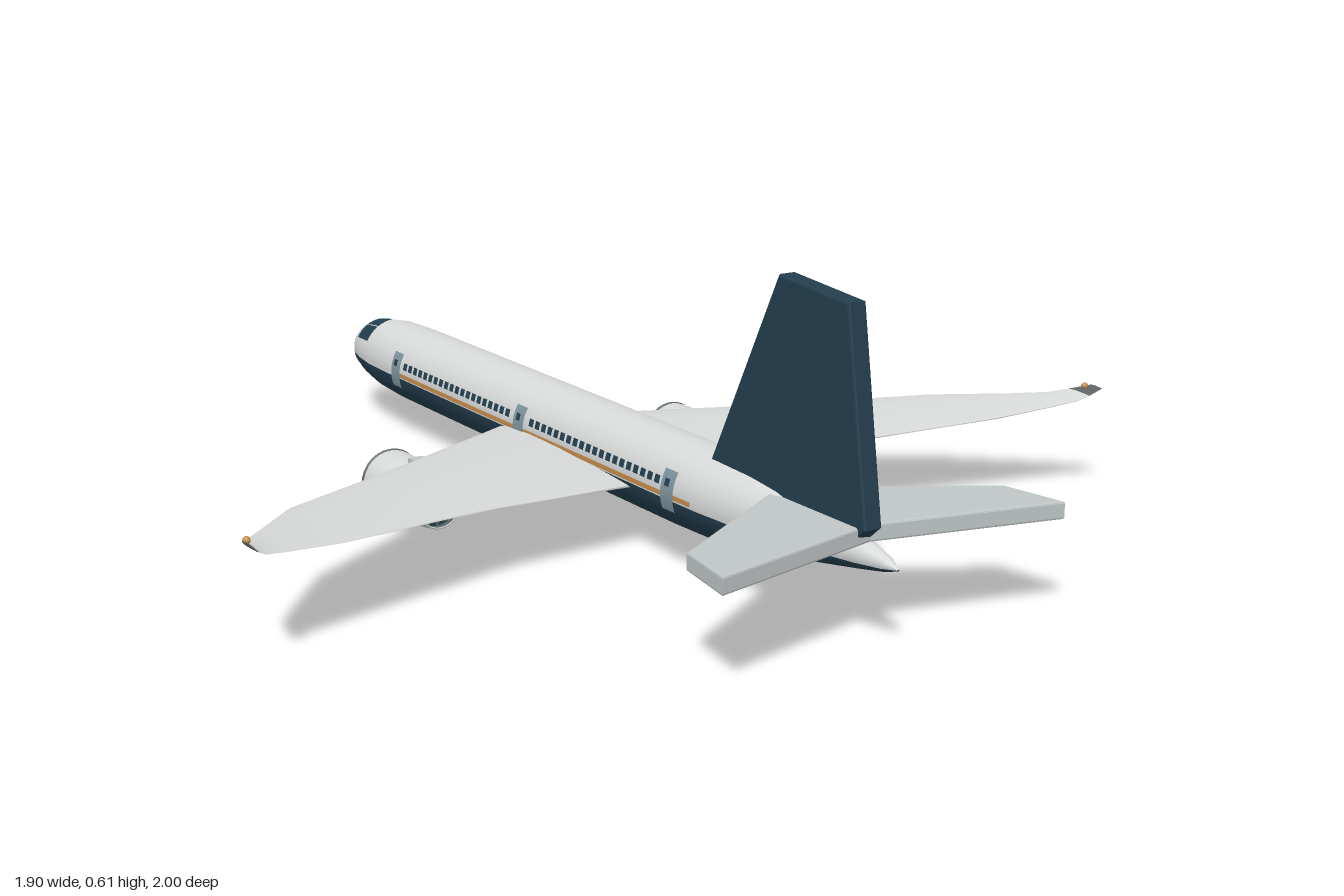
import * as THREE from 'three';

const paint = (name, color, side = THREE.FrontSide) => {
  const m = new THREE.MeshStandardMaterial({ color, side });
  m.name = name;
  return m;
};
const white = paint('white', 0xd6d9d8, THREE.DoubleSide);
const navy = paint('navy', 0x233e4e, THREE.DoubleSide);
const silver = paint('silver', 0xc0c6c6);
const grey = paint('grey', 0x5c6466, THREE.DoubleSide);
const doorBlue = paint('doorBlue', 0x7f959f, THREE.DoubleSide);
const orange = paint('orange', 0xc98d4c, THREE.DoubleSide);

function add(parent, name, geometry, material, x = 0, y = 0, z = 0) {
  const mesh = new THREE.Mesh(geometry, material);
  mesh.name = name;
  mesh.position.set(x, y, z);
  parent.add(mesh);
  return mesh;
}

// Skin stretched over a list of rings with equal point counts
function loft(rings) {
  const n = rings[0].length, index = [];
  for (let j = 0; j < rings.length - 1; j++)
    for (let i = 0; i < n - 1; i++) {
      const a = j * n + i, b = a + n;
      index.push(a, a + 1, b, a + 1, b + 1, b);
    }
  const g = new THREE.BufferGeometry();
  g.setAttribute('position', new THREE.Float32BufferAttribute(rings.flat(2), 3));
  g.setIndex(index);
  g.computeVertexNormals();
  return g;
}

// Fuselage stations: z, centre height, half width, half height
const stations = [
  [-1, 0.152, 0.002, 0.002], [-0.985, 0.153, 0.02, 0.019], [-0.96, 0.154, 0.037, 0.037],
  [-0.92, 0.155, 0.058, 0.058], [-0.87, 0.156, 0.071, 0.071], [-0.8, 0.156, 0.082, 0.081],
  [-0.7, 0.155, 0.086, 0.085], [-0.5, 0.155, 0.087, 0.085], [0.4, 0.155, 0.087, 0.085],
  [0.52, 0.156, 0.086, 0.083], [0.62, 0.159, 0.08, 0.077], [0.7, 0.163, 0.066, 0.067],
  [0.8, 0.162, 0.046, 0.048], [0.9, 0.16, 0.026, 0.028], [0.96, 0.158, 0.014, 0.014], [0.99, 0.156, 0.002, 0.002],
];

function stationAt(z) {
  let i = 0;
  while (i < stations.length - 2 && stations[i + 1][0] < z) i++;
  const t = (z - stations[i][0]) / (stations[i + 1][0] - stations[i][0]);
  return stations[i].map((v, k) => v + (stations[i + 1][k] - v) * t);
}

function arc([z, yc, rx, ry], a0, a1, steps, off = 0) {
  return Array.from({ length: steps + 1 }, (_, i) => {
    const a = a0 + (a1 - a0) * i / steps;
    return [(rx + off) * Math.cos(a), yc + (ry + off) * Math.sin(a), z];
  });
}

// Thin painted panel following the fuselage skin
function panel(z0, z1, a0, a1, side, off = 0.003) {
  const [s, e] = side > 0 ? [a0, a1] : [Math.PI - a1, Math.PI - a0];
  const rows = Math.max(2, Math.ceil((z1 - z0) / 0.1));
  const rings = [];
  for (let i = 0; i <= rows; i++) rings.push(arc(stationAt(z0 + (z1 - z0) * i / rows), s, e, 6, off));
  return loft(rings);
}

function buildFuselage(parent) {
  const group = new THREE.Group();
  group.name = 'fuselage';
  parent.add(group);
  const cut = ([, yc, , ry]) => Math.asin(THREE.MathUtils.clamp((0.145 - yc) / ry, -0.45, 0.3));
  add(group, 'upperHull', loft(stations.map(s => arc(s, cut(s), Math.PI - cut(s), 28))), white);
  add(group, 'lowerHull', loft(stations.map(s => arc(s, Math.PI - cut(s), 2 * Math.PI + cut(s), 28))), navy);

  const doors = [-0.645, -0.1, 0.44];
  for (const side of [1, -1]) {
    add(group, 'stripe', panel(-0.65, 0.51, -0.07, 0.04, side, 0.002), orange);
    for (const z of doors) {
      add(group, 'door', panel(z - 0.02, z + 0.02, -0.34, 0.55, side, 0.005), doorBlue);
      add(group, 'doorWindow', panel(z - 0.007, z + 0.007, 0.2, 0.36, side, 0.007), navy);
    }
    for (let z = -0.605; z < 0.41; z += 0.024)
      if (Math.abs(z + 0.1) > 0.03) add(group, 'window', panel(z - 0.008, z + 0.008, 0.17, 0.35, side), navy);
  }
  // Cockpit glazing
  add(group, 'cockpitWindow', panel(-0.89, -0.818, 0.48, 0.99, -1, 0.004), navy);
  add(group, 'cockpitWindow', panel(-0.89, -0.818, 1.02, 1.5, -1, 0.004), navy);
}

// Wing stations: x, leading z, trailing z, height, thickness
const wingStations = [
  [0.03, -0.22, 0.305, 0.132, 0.042], [0.085, -0.187, 0.31, 0.136, 0.042], [0.385, -0.01, 0.33, 0.151, 0.034],
  [0.56, 0.095, 0.375, 0.163, 0.027], [0.745, 0.205, 0.425, 0.176, 0.021], [0.86, 0.335, 0.46, 0.192, 0.014],
  [0.91, 0.395, 0.48, 0.202, 0.01], [0.93, 0.43, 0.495, 0.214, 0.008], [0.95, 0.475, 0.51, 0.23, 0.006], [0.95, 0.492, 0.493, 0.23, 0.001],
];

function airfoil([x, le, te, y, thick], side) {
  return Array.from({ length: 25 }, (_, i) => {
    const t = i / 24 * Math.PI * 2;
    return [side * x, y + thick / 2 * Math.sin(t) * (0.75 + 0.4 * Math.cos(t)),
      (le + te) / 2 - (te - le) / 2 * Math.cos(t)];
  });
}

function buildWing(parent, side) {
  const section = list => {
    const rings = list.map(s => airfoil(s, side));
    return loft(side > 0 ? rings : rings.reverse());
  };
  add(parent, 'wing', section(wingStations.slice(0, 8)), white);
  add(parent, 'wingTip', section(wingStations.slice(7)), grey);
  add(parent, 'tipLight', new THREE.SphereGeometry(0.007, 10, 8), orange, side * 0.94, 0.229, 0.47);
}

function buildEngine(parent, side) {
  const engine = new THREE.Group();
  engine.name = 'engine';
  engine.position.set(side * 0.345, 0.066, 0);
  parent.add(engine);
  const lathe = pts => new THREE.LatheGeometry(pts.map(p => new THREE.Vector2(...p)), 28).rotateX(-Math.PI / 2);
  // Nacelle: outer shell, rounded lip and inner duct
  add(engine, 'nacelle', lathe([[0.046, -0.03], [0.05, -0.01], [0.057, 0.05], [0.063, 0.11], [0.065, 0.15], [0.064, 0.175]]), white);
  add(engine, 'duct', lathe([[0.055, 0.175], [0.052, 0.14], [0.047, 0.03], [0.043, -0.03]]), grey);
  add(engine, 'intakeLip', new THREE.TorusGeometry(0.06, 0.006, 10, 28), grey, 0, 0, -0.179);
  add(engine, 'exhaustRim', new THREE.TorusGeometry(0.0445, 0.002, 6, 28), silver, 0, 0, 0.03);
  // Fan and exhaust vanes
  for (const [z, r] of [[-0.155, 0.053], [0.012, 0.044]]) {
    add(engine, 'fanDisc', new THREE.CylinderGeometry(r, r, 0.006, 28).rotateX(Math.PI / 2), navy, 0, 0, z);
    for (let i = 0; i < 12; i++) {
      const blade = new THREE.BoxGeometry(r * 0.65, 0.004, 0.008).translate(r * 0.62, 0, 0);
      add(engine, 'blade', blade.rotateX(0.5).rotateZ(i * Math.PI / 6), grey, 0, 0, z + Math.sign(z) * 0.006);
    }
  }
  add(engine, 'spinner', lathe([[0.018, 0.15], [0.016, 0.19], [0.011, 0.212], [0.001, 0.222]]), grey);
  add(engine, 'exhaustCone', new THREE.ConeGeometry(0.018, 0.03, 16).rotateX(Math.PI / 2), navy, 0, 0, 0.028);
  // Pylon joining the nacelle to the wing
  add(engine, 'pylon', new THREE.BoxGeometry(0.032, 0.06, 0.155), silver, 0, 0.046, 0.007);
}

function slab(points, thickness) {
  const b = 0.004;
  return new THREE.ExtrudeGeometry(new THREE.Shape(points.map(p => new THREE.Vector2(...p))), {
    depth: thickness - 2 * b, bevelEnabled: true, bevelThickness: b, bevelSize: b, bevelOffset: -b, bevelSegments: 2,
  }).translate(0, 0, b);
}

function buildTail(parent) {
  const half = [[0.04, 0.685], [0.345, 0.868], [0.367, 0.998]];
  const outline = [...half, [0, 0.915], ...half.map(([x, z]) => [-x, z]).reverse()];
  add(parent, 'tailplane', slab(outline.map(([x, z]) => [x, -z]), 0.033).rotateX(-Math.PI / 2), silver, 0, 0.183, 0);
  const fin = [[0.94, 0.215], [0.88, 0.594], [0.69, 0.61], [0.5, 0.232], [0.52, 0.2], [0.9, 0.18]];
  add(parent, 'fin', slab(fin, 0.038).rotateY(-Math.PI / 2), navy, 0.004, 0, 0);
}

export function createModel() {
  const plane = new THREE.Group();
  plane.name = 'airliner';
  buildFuselage(plane);
  for (const side of [1, -1]) {
    buildWing(plane, side);
    buildEngine(plane, side);
  }
  buildTail(plane);
  return plane;
}
